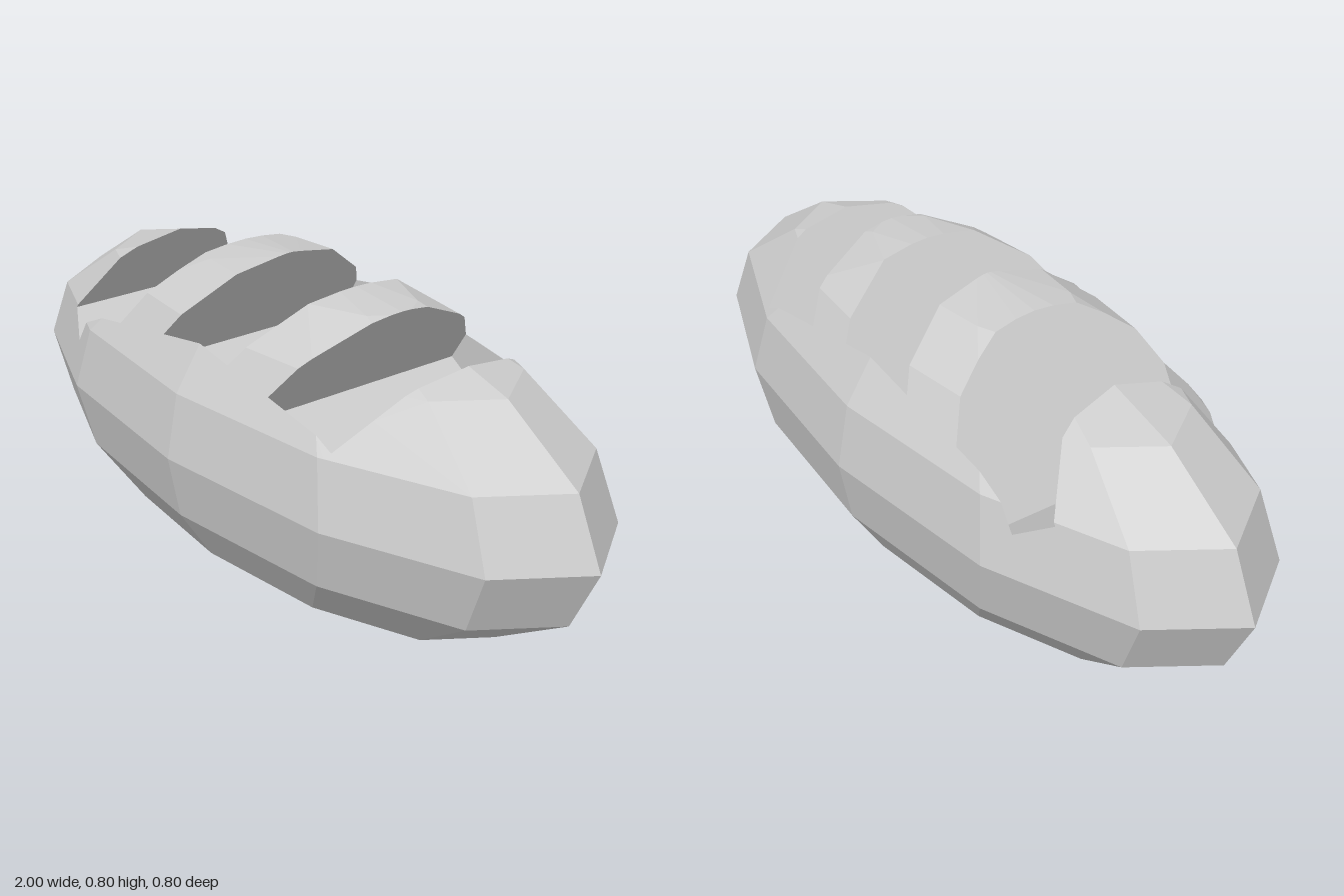
import * as THREE from 'three';

const EPS = 1e-5;

// Triangles of a geometry as lists of points
function triangles(geometry) {
  const p = geometry.toNonIndexed().attributes.position;
  const list = [];
  for (let i = 0; i < p.count; i += 3) {
    list.push([0, 1, 2].map(k => new THREE.Vector3().fromBufferAttribute(p, i + k)));
  }
  return list;
}

const planesOf = polys => polys.map(t => new THREE.Plane().setFromCoplanarPoints(...t));

// Part of a convex polygon on one side of a plane (side -1 = inside, 1 = outside)
function clip(poly, plane, side) {
  const d = poly.map(v => plane.distanceToPoint(v) * side);
  if (!d.some(v => v > EPS) && d.some(v => v < -EPS)) return [];
  const out = [];
  poly.forEach((a, i) => {
    const j = (i + 1) % poly.length;
    if (d[i] >= -EPS) out.push(a);
    if ((d[i] > EPS && d[j] < -EPS) || (d[i] < -EPS && d[j] > EPS)) {
      out.push(a.clone().lerp(poly[j], d[i] / (d[i] - d[j])));
    }
  });
  return out;
}

const intersect = (poly, planes) => planes.reduce((p, plane) => clip(p, plane, -1), poly);

// Pieces of a polygon that lie outside a convex solid
function subtract(poly, planes) {
  if (!intersect(poly, planes).length) return [poly];
  const pieces = [];
  let rest = poly;
  for (const plane of planes) {
    const outer = clip(rest, plane, 1);
    if (outer.length) pieces.push(outer);
    rest = clip(rest, plane, -1);
  }
  return pieces;
}

function polygonMesh(name, polys, material) {
  const points = [];
  for (const p of polys) {
    for (let i = 1; i < p.length - 1; i++) points.push(p[0], p[i], p[i + 1]);
  }
  const geometry = new THREE.BufferGeometry().setFromPoints(points);
  geometry.computeVertexNormals();
  const mesh = new THREE.Mesh(geometry, material);
  mesh.name = name;
  return mesh;
}

export function createModel() {
  const group = new THREE.Group();
  group.name = 'loaf';
  const gray = new THREE.MeshStandardMaterial({ color: 0xcccccc });
  gray.name = 'plain gray';

  // Faceted ellipsoid loaf with a flat base
  const radius = 0.4175;
  const body = new THREE.SphereGeometry(1, 12, 8);
  body.scale(1, radius, 0.4).translate(0, radius * Math.cos(Math.PI / 8), 0);
  const pos = body.attributes.position;
  for (let i = 0; i < pos.count; i++) pos.setY(i, Math.max(0, pos.getY(i)));
  let crust = triangles(body);
  const bodyPlanes = planesOf(crust);

  // Three slanted slots cut across the top
  const width = 0.217, height = 0.6, tilt = 0.56;
  [-0.455, -0.025, 0.4].forEach((x, i) => {
    const slot = new THREE.BoxGeometry(width, height, 0.6);
    slot.translate(-width / 2, height / 2, 0).rotateZ(-tilt).translate(x, 0.422, 0);
    const faces = triangles(slot);
    const slotPlanes = planesOf(faces.filter((_, k) => k % 2 === 0));
    crust = crust.flatMap(p => subtract(p, slotPlanes));
    // Slot walls face into the cut
    const walls = faces.map(p => intersect(p, bodyPlanes).reverse());
    group.add(polygonMesh('slash' + (i + 1), walls, gray));
  });

  group.add(polygonMesh('crust', crust, gray));
  return group;
}
